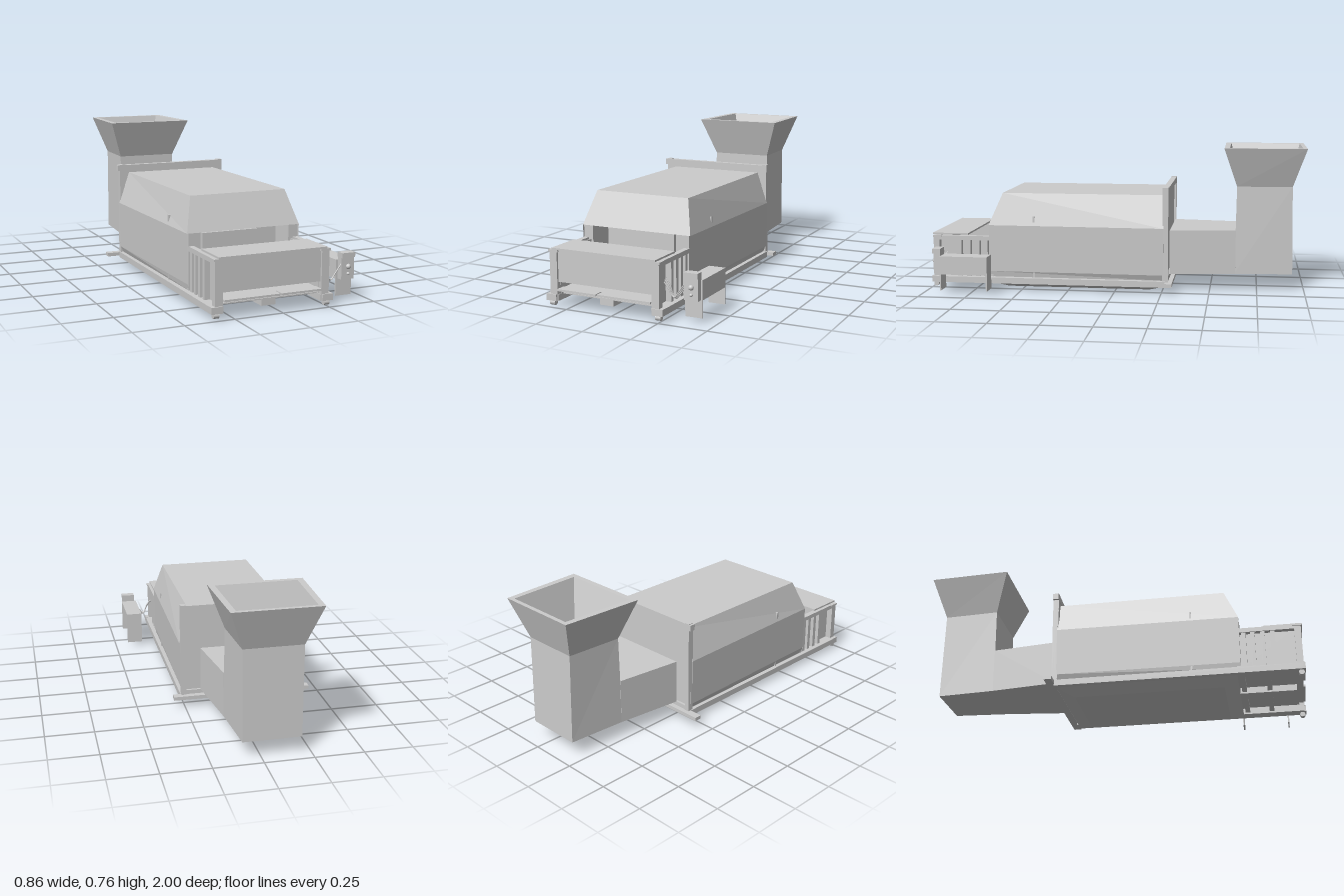
import * as THREE from 'three';

const mat = new THREE.MeshStandardMaterial({ color: 0xcccccc, side: THREE.DoubleSide });
const CX = -0.0475; // centre line of the machine

function add(group, name, geo) {
  const mesh = new THREE.Mesh(geo, mat);
  mesh.name = name;
  group.add(mesh);
  return mesh;
}

function box(group, name, x0, x1, y0, y1, z0, z1) {
  const geo = new THREE.BoxGeometry(x1 - x0, y1 - y0, z1 - z0);
  geo.translate((x0 + x1) / 2, (y0 + y1) / 2, (z0 + z1) / 2);
  return add(group, name, geo);
}

// Box pair mirrored about the machine's centre line
function pair(group, name, d0, d1, y0, y1, z0, z1) {
  box(group, name + 'Left', CX + d0, CX + d1, y0, y1, z0, z1);
  box(group, name + 'Right', CX - d1, CX - d0, y0, y1, z0, z1);
}

// Flat-shaded skin through rings of corner points, with optional end caps
function loft(group, name, rings, capStart = true, capEnd = true) {
  const pos = [];
  const tri = (...pts) => pts.forEach((p) => pos.push(...p));
  for (let r = 0; r < rings.length - 1; r++) {
    const a = rings[r], b = rings[r + 1];
    a.forEach((p, i) => {
      const j = (i + 1) % a.length;
      tri(p, a[j], b[j]);
      tri(p, b[j], b[i]);
    });
  }
  const cap = (ring) => {
    for (let i = 1; i < ring.length - 1; i++) tri(ring[0], ring[i], ring[i + 1]);
  };
  if (capStart) cap([...rings[0]].reverse());
  if (capEnd) cap(rings[rings.length - 1]);
  const geo = new THREE.BufferGeometry();
  geo.setAttribute('position', new THREE.Float32BufferAttribute(pos, 3));
  geo.computeVertexNormals();
  return add(group, name, geo);
}

// Horizontal ring: front and back half widths may differ
const flatRing = (cx, y, front, back, zf, zb) => [
  [cx - front, y, zf], [cx + front, y, zf], [cx + back, y, zb], [cx - back, y, zb],
];

function hood() {
  const g = new THREE.Group();
  g.name = 'hood';
  // half widths at four heights, back end then front end
  const section = (halves, z, zTop) => {
    const ys = [0.07, 0.1, 0.35, 0.52];
    const side = halves.map((h, i) => [CX + h, ys[i], i === 3 ? zTop : z]);
    const other = side.map(([x, y, zz]) => [2 * CX - x, y, zz]).reverse();
    return [...side, ...other];
  };
  const back = section([0.3, 0.312, 0.317, 0.258], -0.26, -0.26);
  const front = section([0.295, 0.3, 0.304, 0.258], 0.68, 0.61);
  loft(g, 'hoodShell', [back, front], true, false);
  // sloped front roof panel
  const geo = new THREE.BufferGeometry();
  const [a, b, c, d] = [front[5], front[2], front[3], front[4]];
  geo.setAttribute('position', new THREE.Float32BufferAttribute([a, b, c, a, c, d].flat(), 3));
  geo.computeVertexNormals();
  add(g, 'slopedPanel', geo);
  pair(g, 'openingJamb', 0.245, 0.297, 0.07, 0.35, 0.66, 0.68);
  // inner frame seen through the opening
  box(g, 'innerPanel', -0.21, 0.095, 0.1, 0.315, 0.52, 0.54);
  pair(g, 'innerPost', 0.153, 0.208, 0.1, 0.315, 0.47, 0.5);
  box(g, 'innerWall', -0.35, 0.255, 0.07, 0.4, 0.43, 0.44);
  return g;
}

function chute() {
  const g = new THREE.Group();
  g.name = 'feedChute';
  const c = -0.055;
  const endRing = (h, z) => [[c - h, 0.09, z], [c + h, 0.09, z], [c + h, 0.325, z], [c - h, 0.325, z]];
  loft(g, 'feedDuct', [endRing(0.172, -0.635), endRing(0.217, -0.285)]);
  // column flares to a rim, then returns down the inside
  loft(g, 'hopper', [
    flatRing(c, 0.09, 0.172, 0.148, -0.63, -0.938),
    flatRing(c, 0.56, 0.166, 0.15, -0.638, -0.93),
    flatRing(c, 0.767, 0.241, 0.222, -0.57, -1.0),
    flatRing(c, 0.767, 0.207, 0.193, -0.598, -0.978),
    flatRing(c, 0.56, 0.146, 0.136, -0.655, -0.918),
    flatRing(c, 0.1, 0.146, 0.136, -0.655, -0.918),
  ]);
  return g;
}

function baseFrame() {
  const g = new THREE.Group();
  g.name = 'baseFrame';
  pair(g, 'sideRail', 0.255, 0.318, 0.036, 0.068, -0.27, 0.985);
  box(g, 'rearCrossbar', -0.432, 0.308, 0.045, 0.064, -0.307, -0.268);
  loft(g, 'drainPan', [
    flatRing(CX, 0.004, 0.22, 0.22, 0.59, -0.18),
    flatRing(CX, 0.036, 0.29, 0.29, 0.66, -0.262),
  ]);
  // upright frame at the rear of the hood
  pair(g, 'rearPost', 0.285, 0.312, 0.065, 0.565, -0.285, -0.255);
  box(g, 'rearTopBar', -0.372, 0.262, 0.53, 0.562, -0.285, -0.255);
  box(g, 'rearWall', -0.36, 0.25, 0.068, 0.54, -0.272, -0.258);
  box(g, 'rearSill', -0.36, 0.25, 0.068, 0.09, -0.285, -0.258);
  // feet under the front corners
  for (const s of [-1, 1]) {
    const geo = new THREE.CylinderGeometry(0.014, 0.014, 0.028, 16);
    geo.rotateZ(Math.PI / 2).translate(CX + s * 0.29, 0.025, 0.975);
    add(g, 'frontFoot', geo);
    box(g, 'footBracket', CX + s * 0.29 - 0.028, CX + s * 0.29 + 0.028, 0.036, 0.069, 0.955, 0.995);
  }
  return g;
}

function outfeed() {
  const g = new THREE.Group();
  g.name = 'outfeedBay';
  box(g, 'floor', -0.3, 0.21, 0.085, 0.095, 0.5, 0.985);
  pair(g, 'frontTray', 0.04, 0.255, 0.088, 0.098, 0.94, 0.995);
  box(g, 'centreBeam', -0.09, -0.015, 0.036, 0.074, 0.66, 0.95);
  box(g, 'underPlate', -0.29, 0.2, 0.069, 0.075, 0.66, 0.96);
  for (const z of [0.67, 0.8]) box(g, 'underCrossbar', -0.3, 0.21, 0.045, 0.068, z, z + 0.025);
  box(g, 'frontPanel', -0.305, 0.21, 0.13, 0.295, 0.965, 0.978);
  box(g, 'topCover', -0.33, 0.235, 0.291, 0.3, 0.8, 0.995);
  pair(g, 'cornerPost', 0.258, 0.298, 0.068, 0.285, 0.955, 0.988);
  pair(g, 'postCap', 0.252, 0.304, 0.279, 0.29, 0.945, 0.99);
  pair(g, 'topRail', 0.27, 0.298, 0.265, 0.288, 0.67, 0.96);
  pair(g, 'sideSheet', 0.256, 0.263, 0.068, 0.28, 0.67, 0.96);
  for (const z of [0.69, 0.735, 0.785, 0.835]) {
    pair(g, 'sideSlat', 0.263, 0.293, 0.068, 0.27, z, z + 0.022);
  }
  return g;
}

function controls() {
  const g = new THREE.Group();
  g.name = 'controlStand';
  // folded channel, open underneath
  box(g, 'channelTop', 0.341, 0.429, 0.2, 0.206, 0.65, 0.9);
  box(g, 'channelSideLeft', 0.424, 0.429, 0.11, 0.206, 0.65, 0.9);
  box(g, 'channelSideRight', 0.341, 0.346, 0.11, 0.206, 0.65, 0.9);
  for (const z of [0.648, 0.895]) box(g, 'channelEnd', 0.341, 0.429, 0.025, 0.206, z, z + 0.007);
  // button box
  box(g, 'buttonBox', 0.352, 0.423, 0.112, 0.228, 0.9, 0.935);
  box(g, 'buttonBoxCap', 0.352, 0.424, 0.22, 0.245, 0.898, 0.942);
  for (const [y, r] of [[0.176, 0.013], [0.14, 0.008]]) {
    const geo = new THREE.SphereGeometry(r, 20, 12);
    add(g, 'pushButton', geo.translate(0.389, y, 0.937));
  }
  // sagging cables to the machine
  for (let i = 0; i < 3; i++) {
    const d = i * 0.008;
    const curve = new THREE.CatmullRomCurve3([
      [0.245, 0.2 - d, 0.92], [0.27, 0.168 - d, 0.92], [0.285, 0.125, 0.92],
      [0.3, 0.11 + d * 0.4, 0.92], [0.32, 0.128 + d, 0.92], [0.355, 0.175 + d, 0.92],
    ].map(([x, y, z]) => new THREE.Vector3(x, y, z - 0.006 + i * 0.007)));
    add(g, 'cable', new THREE.TubeGeometry(curve, 32, 0.003, 8));
  }
  return g;
}

export function createModel() {
  const model = new THREE.Group();
  model.name = 'balingPress';
  model.add(hood(), chute(), baseFrame(), outfeed(), controls());
  return model;
}
